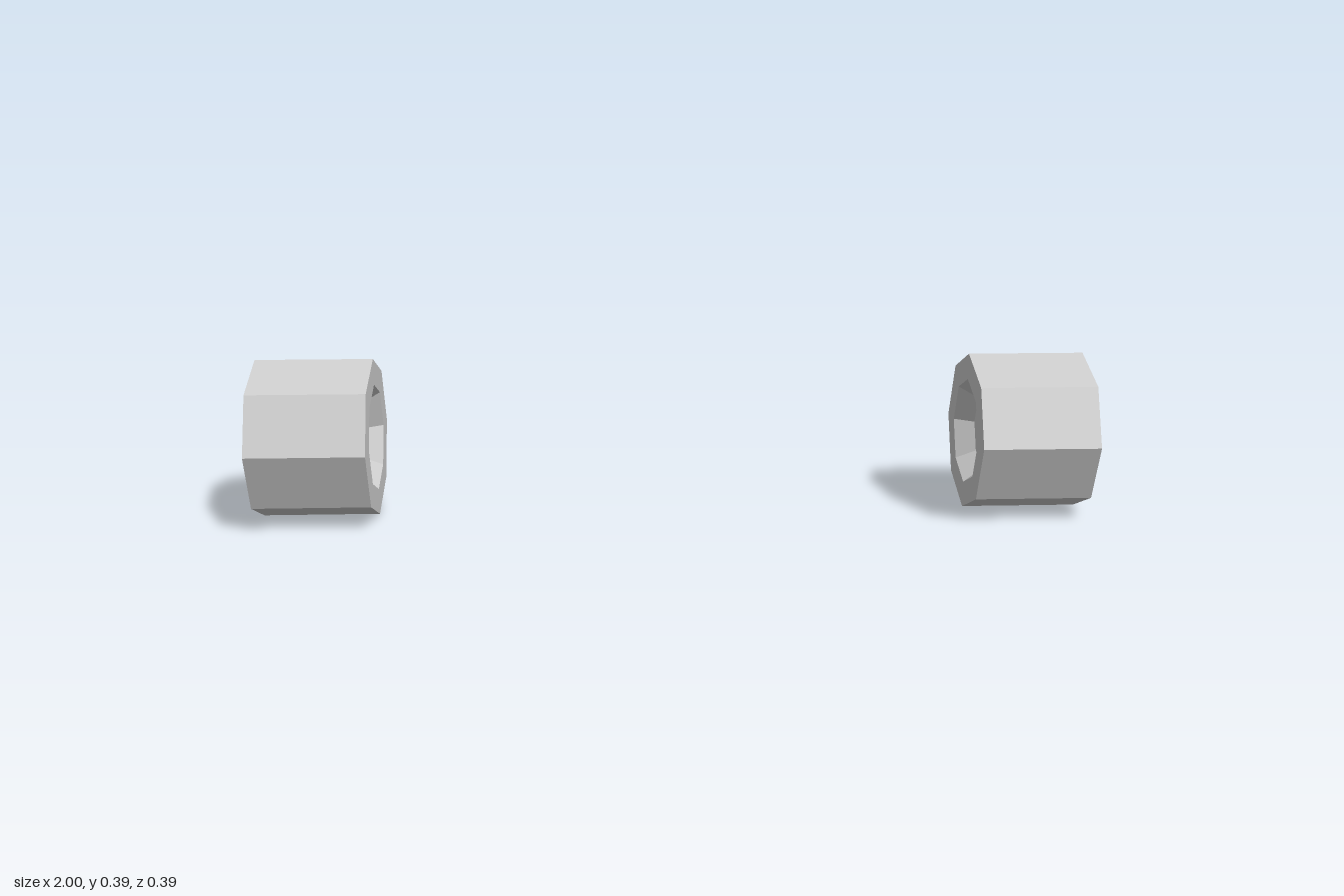
import * as THREE from 'three';

const RADIUS = 0.193;       // outer corner radius
const HALF_WIDTH = 0.14;    // half the wheel's width along the axle
const OPENING = 0.13;       // recess radius at the rim
const HUB = 0.096;          // recess radius at its floor
const DEPTH = 0.045;        // recess depth

export function createModel() {
  const group = new THREE.Group();
  const material = new THREE.MeshStandardMaterial({ color: 0xcccccc, flatShading: true });

  // eight-sided wheel, dished on both faces
  const profile = [
    [0, DEPTH - HALF_WIDTH], [HUB, DEPTH - HALF_WIDTH], [OPENING, -HALF_WIDTH], [RADIUS, -HALF_WIDTH],
    [RADIUS, HALF_WIDTH], [OPENING, HALF_WIDTH], [HUB, HALF_WIDTH - DEPTH], [0, HALF_WIDTH - DEPTH],
  ].map(([r, y]) => new THREE.Vector2(r, y));
  const geometry = new THREE.LatheGeometry(profile, 8);
  geometry.rotateZ(-Math.PI / 2); // axle along x

  for (const [name, side] of [['leftWheel', 1], ['rightWheel', -1]]) {
    const wheel = new THREE.Mesh(geometry, material);
    wheel.name = name;
    wheel.position.set(side * (1 - HALF_WIDTH), RADIUS, 0);
    group.add(wheel);
  }
  return group;
}
